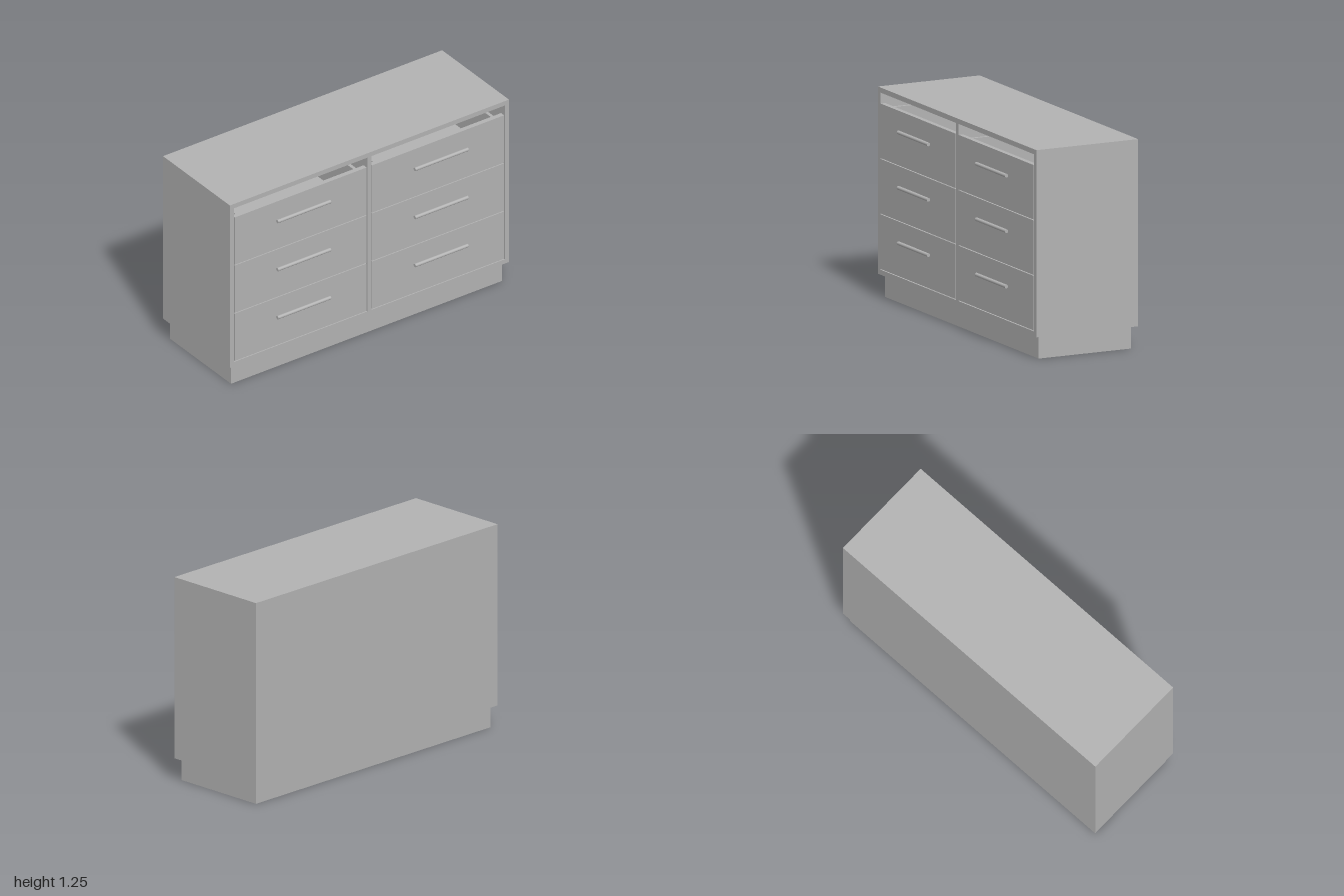
import * as THREE from 'three';

export function createModel() {
  const model = new THREE.Group();
  const grey = new THREE.MeshStandardMaterial({ color: 0xb2b2b2 });
  grey.name = 'light grey';

  // Box given by its lower and upper limits on each axis
  const box = (parent, name, [x0, x1], [y0, y1], [z0, z1]) => {
    const mesh = new THREE.Mesh(new THREE.BoxGeometry(x1 - x0, y1 - y0, z1 - z0), grey);
    mesh.position.set((x0 + x1) / 2, (y0 + y1) / 2, (z0 + z1) / 2);
    mesh.name = name;
    parent.add(mesh);
  };

  const T = 0.03; // panel thickness
  const BOTTOM = 0.135, TOP = 1.25, BACK = -0.355, FRONT = 0.313;

  // Recessed plinth
  box(model, 'plinth', [-0.97, 0.97], [0, BOTTOM], [BACK + T, FRONT - T]);

  // Cabinet shell, open at the front
  const cabinet = new THREE.Group();
  cabinet.name = 'cabinet';
  model.add(cabinet);
  const inner = [BOTTOM + T, TOP - T];
  box(cabinet, 'topPanel', [-1, 1], [TOP - T, TOP], [BACK, FRONT]);
  box(cabinet, 'bottomPanel', [-1, 1], [BOTTOM, BOTTOM + T], [BACK, FRONT]);
  box(cabinet, 'rightPanel', [-1, -1 + T], inner, [BACK, FRONT]);
  box(cabinet, 'leftPanel', [1 - T, 1], inner, [BACK, FRONT]);
  box(cabinet, 'backPanel', [-1 + T, 1 - T], inner, [BACK, BACK + T]);
  box(cabinet, 'divider', [-T / 2, T / 2], inner, [BACK + T, FRONT]);

  // Open-topped drawer, centred on x = 0, with its front's lower edge at y = 0
  const makeDrawer = () => {
    const drawer = new THREE.Group();
    const halfFront = 0.4725, half = 0.4325, wall = 0.02;
    const zBack = -0.3, zFront = FRONT - T;
    const floor = [0.06, 0.08], sides = [0.06, 0.31];
    box(drawer, 'drawerFront', [-halfFront, halfFront], [0, 0.325], [zFront, FRONT]);
    box(drawer, 'drawerFloor', [-half + wall, half - wall], floor, [zBack + wall, zFront]);
    box(drawer, 'drawerBack', [-half + wall, half - wall], sides, [zBack, zBack + wall]);
    box(drawer, 'drawerRightSide', [-half, -half + wall], sides, [zBack, zFront]);
    box(drawer, 'drawerLeftSide', [half - wall, half], sides, [zBack, zFront]);

    // Round bar handle held just clear of the front
    const handle = new THREE.Mesh(new THREE.CylinderGeometry(0.011, 0.011, 0.38, 24), grey);
    handle.rotation.z = Math.PI / 2;
    handle.position.set(0, 0.21, 0.344);
    handle.name = 'handle';
    drawer.add(handle);
    return drawer;
  };

  // Two columns of three drawers
  for (const side of [-1, 1]) {
    for (let row = 0; row < 3; row++) {
      const drawer = makeDrawer();
      drawer.name = `${side < 0 ? 'right' : 'left'}Drawer${row + 1}`;
      drawer.position.set(side * 0.4925, 0.17 + row * 0.33, 0);
      model.add(drawer);
    }
  }
  return model;
}
